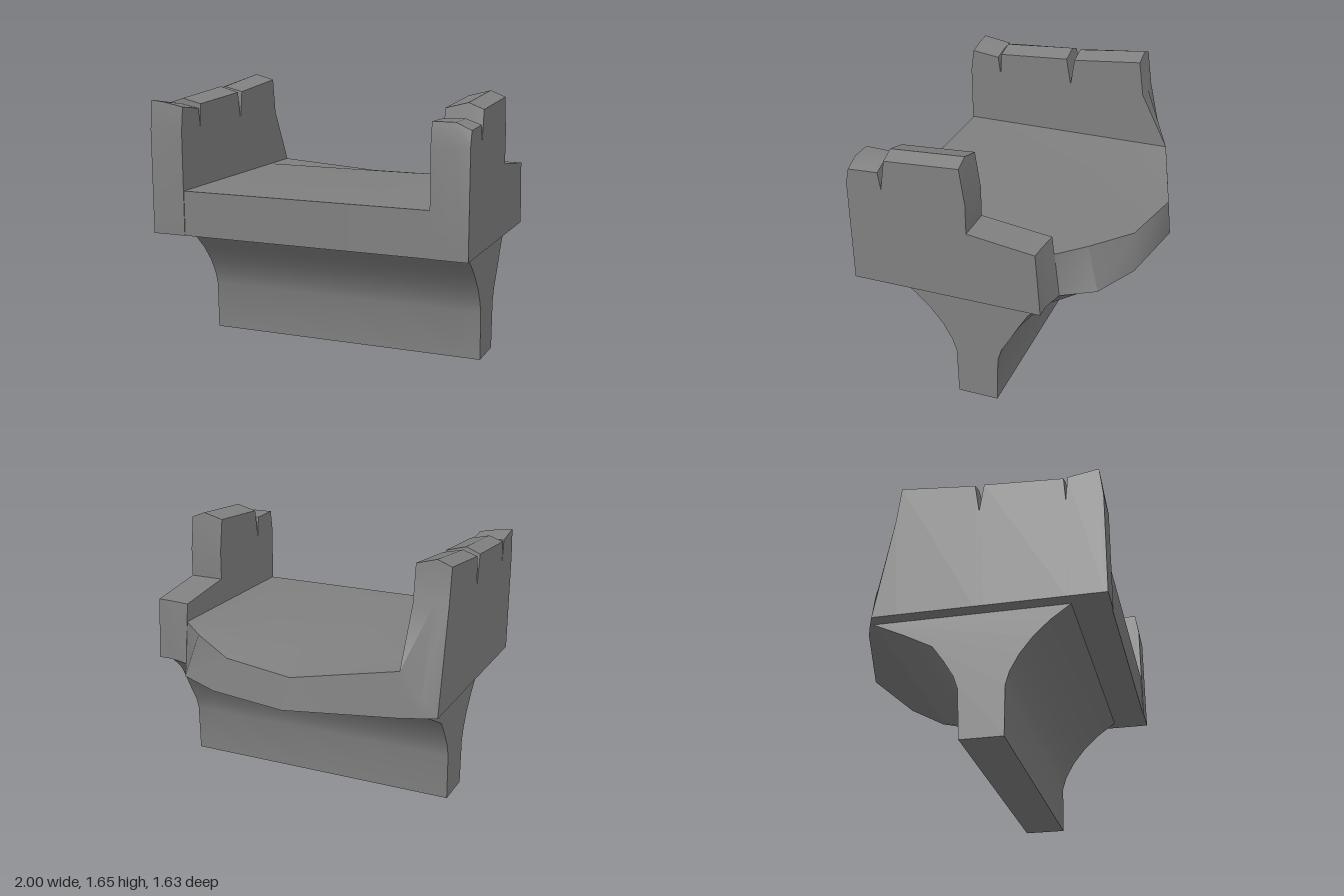
import * as THREE from 'three';
import { toCreasedNormals } from 'three/addons/utils/BufferGeometryUtils.js';

const stone = new THREE.MeshStandardMaterial({ color: 0x808080 });
stone.name = 'grey stone';

// Skins a row of closed rings, caps both ends and turns the faces outward.
function loft(name, rings, crease = 0.5) {
  const n = rings[0].length;
  const tris = [];
  for (let i = 0; i < rings.length - 1; i++) {
    for (let j = 0; j < n; j++) {
      const k = (j + 1) % n;
      const a = rings[i][j], b = rings[i][k], c = rings[i + 1][k], d = rings[i + 1][j];
      tris.push([a, b, c], [a, c, d]);
    }
  }
  // caps follow the concave outline
  const cap = (ring, flip) => {
    const [u, v] = Math.abs(ring[0][0] - ring[2][0]) < 0.08 ? [2, 1] : [0, 1];
    const flat = ring.map((p) => new THREE.Vector2(p[u], p[v]));
    const cw = THREE.ShapeUtils.isClockWise(flat);
    for (const f of THREE.ShapeUtils.triangulateShape(flat, [])) {
      const t = f.map((q) => ring[q]);
      // triangles take the winding of the ring, reversed on the first end
      const area = THREE.ShapeUtils.area(f.map((q) => flat[q]));
      if ((area < 0) !== cw) t.reverse();
      tris.push(flip ? t.reverse() : t);
    }
  };
  cap(rings[0], true);
  cap(rings[rings.length - 1], false);

  const A = new THREE.Vector3(), B = new THREE.Vector3(), C = new THREE.Vector3();
  let volume = 0;
  for (const [a, b, c] of tris) {
    volume += A.fromArray(a).dot(B.fromArray(b).cross(C.fromArray(c)));
  }
  if (volume < 0) tris.forEach((t) => t.reverse());
  const solid = tris.filter(([a, b, c]) => {
    A.fromArray(a);
    return B.fromArray(b).sub(A).cross(C.fromArray(c).sub(A)).length() > 1e-7;
  });
  const geo = new THREE.BufferGeometry();
  geo.setAttribute('position', new THREE.Float32BufferAttribute(solid.flat(2), 3));
  const mesh = new THREE.Mesh(toCreasedNormals(geo, crease), stone);
  mesh.name = name;
  return mesh;
}

// Arm wall: columns at outer, ridge and inner x; a station is [z, outerY, ridgeY, innerY]
// or three columns of [topZ, topY, baseZ].
function arm(name, xs, stations) {
  const rings = stations.map((s) => {
    const cols = Array.isArray(s[0]) ? s : [1, 2, 3].map((i) => [s[0], s[i], s[0]]);
    const top = cols.map(([z, y], i) => [xs[i], y, z]);
    const base = cols.map(([, , z], i) => [xs[i], 0.76, z]).reverse();
    return [...top, ...base];
  });
  return loft(name, rings);
}

export function createModel() {
  const group = new THREE.Group();
  group.name = 'brokenStoneSeat';

  // Seat slab: [topX, topZ, topY, baseX, baseZ] along its broken back edge
  const edge = [
    [-0.785, -0.61, 1.035, -0.785, -0.64],
    [-0.18, -0.79, 0.96, -0.14, -0.82],
    [0.29, -0.70, 0.975, 0.37, -0.73],
    [0.60, -0.51, 1.02, 0.66, -0.59],
    [0.775, -0.36, 1.035, 0.775, -0.395],
  ];
  group.add(loft('seatSlab', edge.map(([tx, tz, ty, bx, bz]) => [
    [tx, 0.76, 0.81], [tx, 1.035, 0.81], [tx, 1.035, -0.35], [tx, ty, tz], [bx, 0.76, bz],
  ])));

  // Left arm, broken off low at the back
  group.add(arm('leftArm', [1, 0.91, 0.775], [
    [0.815, 0.76, 0.76, 0.76],
    [0.815, 1.395, 1.395, 1.395],
    [0.795, 1.485, 1.525, 1.525],
    [0.61, 1.495, 1.525, 1.52],
    [0.595, 1.39, 1.39, 1.39],
    [0.565, 1.575, 1.61, 1.575],
    [0.11, 1.605, 1.64, 1.605],
    [0.08, 1.39, 1.39, 1.39],
    [0.08, 1.205, 1.205, 1.205],
    [[-0.33, 1.15, -0.36], [-0.335, 1.15, -0.36], [-0.35, 1.15, -0.395]],
  ]));

  // Right arm, with its tall rear block and sloping back
  group.add(arm('rightArm', [-1, -0.91, -0.785], [
    [0.815, 0.76, 0.76, 0.76],
    [0.815, 1.395, 1.395, 1.395],
    [0.795, 1.575, 1.565, 1.54],
    [0.61, 1.545, 1.54, 1.515],
    [0.595, 1.39, 1.39, 1.39],
    [0.585, 1.54, 1.57, 1.54],
    [0.11, 1.57, 1.605, 1.57],
    [0.08, 1.39, 1.39, 1.39],
    [0.055, 1.57, 1.60, 1.57],
    [-0.40, 1.615, 1.65, 1.615],
    [-0.43, 1.39, 1.39, 1.39],
    [[-0.55, 0.76, -0.55], [-0.575, 0.88, -0.59], [-0.61, 1.035, -0.64]],
  ]));

  // Flared pedestal: front curve is constant, rear flare is cut back near its left end
  const front = [[0.21, 0], [0.215, 0.3], [0.24, 0.38], [0.295, 0.48], [0.375, 0.58], [0.47, 0.67], [0.595, 0.76]];
  const rear = [[-0.045, 0], [-0.055, 0.3], [-0.08, 0.38], [-0.14, 0.48]];
  const flare = [
    [-0.91, -0.21, -0.38, -0.57],
    [0.50, -0.21, -0.38, -0.57],
    [0.66, -0.21, -0.36, -0.54],
    [0.77, -0.205, -0.30, -0.40],
    [0.91, -0.195, -0.25, -0.35],
  ];
  group.add(loft('pedestal', flare.map(([x, a, b, c]) => {
    const back = [...rear, [a, 0.58], [b, 0.67], [c, 0.76]];
    return [...front, ...back.reverse()].map(([z, y]) => [x, y, z]);
  }), 0.6));

  return group;
}
